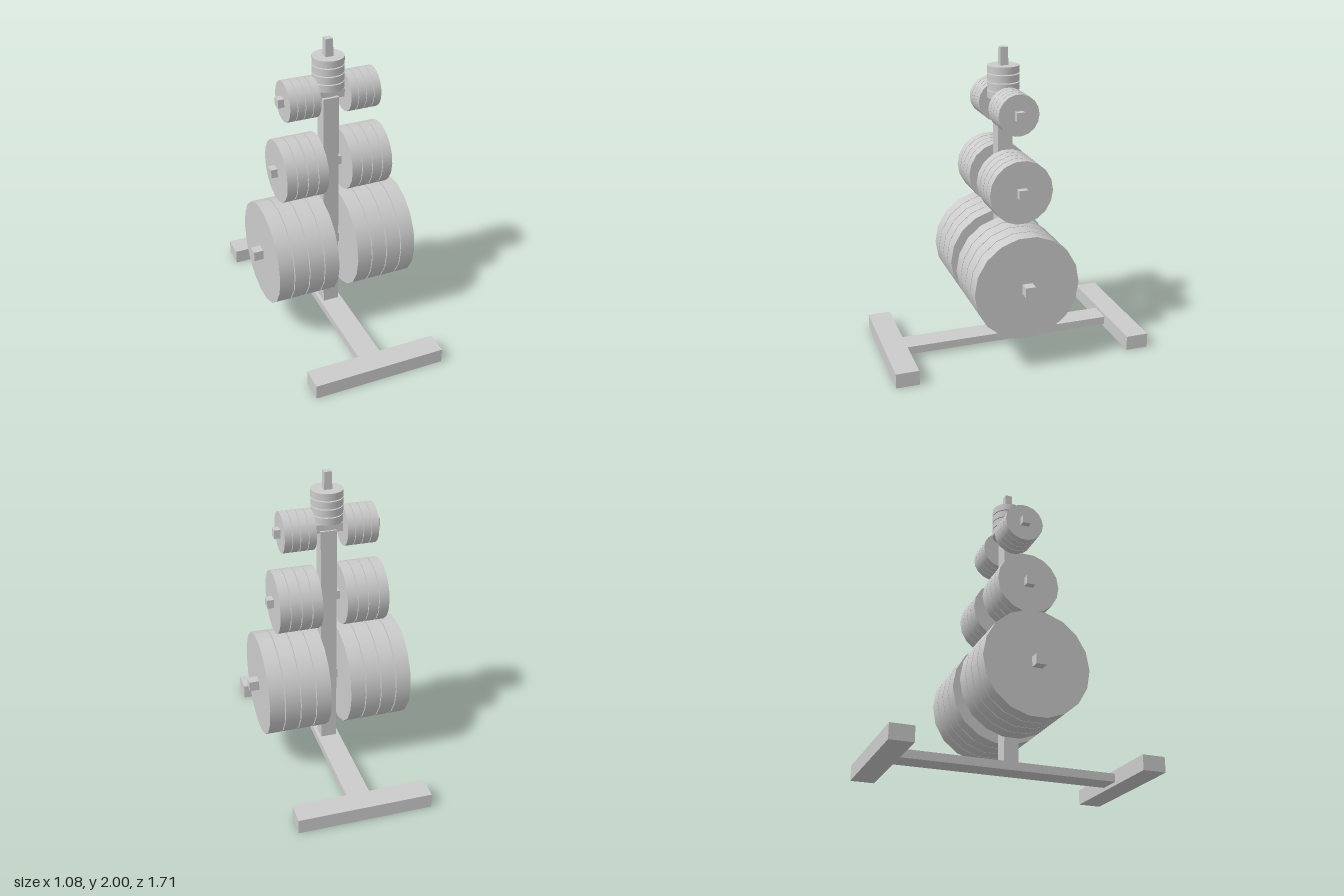
import * as THREE from 'three';

const material = new THREE.MeshStandardMaterial({ color: 0xcccccc });
const AXIS_Z = 0.012; // the post and pegs sit slightly forward of centre
const SIDES = 18;

function addMesh(parent, name, geometry, x, y, z) {
  const mesh = new THREE.Mesh(geometry, material);
  mesh.name = name;
  mesh.position.set(x, y, z);
  parent.add(mesh);
  return mesh;
}

// Box given by its minimum and maximum corners
function addBox(parent, name, [x0, y0, z0], [x1, y1, z1]) {
  const geometry = new THREE.BoxGeometry(x1 - x0, y1 - y0, z1 - z0);
  return addMesh(parent, name, geometry, (x0 + x1) / 2, (y0 + y1) / 2, (z0 + z1) / 2);
}

// Row of equal plates stacked along +y, starting at the group's origin
function plateStack(name, radius, length, gap, count = 4) {
  const stack = new THREE.Group();
  stack.name = name;
  const thickness = (length - gap * (count - 1)) / count;
  for (let i = 0; i < count; i++) {
    const y = thickness / 2 + i * (thickness + gap);
    addMesh(stack, 'weightPlate', new THREE.CylinderGeometry(radius, radius, thickness, SIDES), 0, y, 0);
  }
  return stack;
}

export function createModel() {
  const model = new THREE.Group();
  model.name = 'weightPlateTree';

  // Base: two cross feet joined by a low, wide beam
  for (const side of [-1, 1]) {
    const foot = addBox(model, 'foot', [-0.438, 0, -0.075], [0.438, 0.097, 0.075]);
    foot.position.z = side * 0.782;
  }
  addBox(model, 'baseBeam', [-0.077, 0.022, -0.715], [0.075, 0.075, 0.715]);

  // Upright post
  addBox(model, 'post', [-0.055, 0.07, -0.032], [0.051, 1.62, 0.063]);

  // Horizontal pegs with a stack of plates on each side
  const tiers = [
    { name: 'large', y: 0.568, r: 0.343, inner: 0.066, outer: 0.474, peg: 0.538, size: 0.066, gap: 0.006 },
    { name: 'medium', y: 1.158, r: 0.205, inner: 0.08, outer: 0.357, peg: 0.4, size: 0.058, gap: 0.005 },
    { name: 'small', y: 1.632, r: 0.131, inner: 0.099, outer: 0.301, peg: 0.342, size: 0.055, gap: 0.004 },
  ];
  for (const t of tiers) {
    addMesh(model, t.name + 'Peg', new THREE.BoxGeometry(t.peg * 2, t.size, t.size), 0, t.y, AXIS_Z);
    for (const side of [-1, 1]) {
      const stack = plateStack(t.name + 'Plates', t.r, t.outer - t.inner, t.gap);
      stack.rotation.z = -side * Math.PI / 2;
      stack.position.set(side * t.inner, t.y, AXIS_Z);
      model.add(stack);
    }
  }

  // Slightly tapered top peg with flat-lying plates
  const topPeg = new THREE.BoxGeometry(1, 0.38, 1);
  const pos = topPeg.attributes.position;
  for (let i = 0; i < pos.count; i++) {
    const width = pos.getY(i) > 0 ? 0.047 : 0.064;
    pos.setX(i, pos.getX(i) * width);
    pos.setZ(i, pos.getZ(i) * width);
  }
  topPeg.computeVertexNormals();
  addMesh(model, 'topPeg', topPeg, -0.003, 1.81, AXIS_Z);
  const topPlates = plateStack('topPlates', 0.102, 0.205, 0.007);
  topPlates.position.set(-0.002, 1.682, AXIS_Z);
  model.add(topPlates);

  return model;
}
